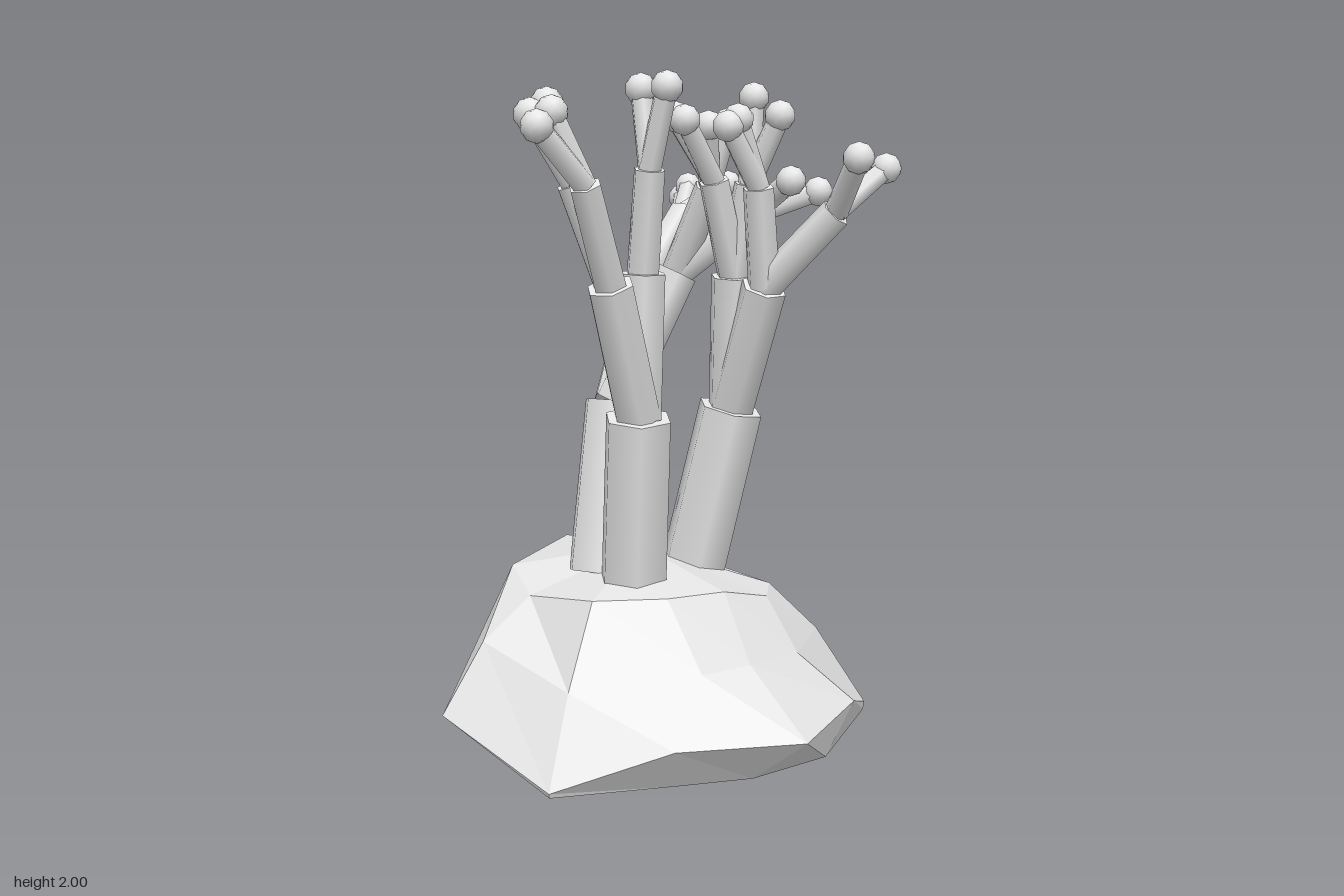
import * as THREE from 'three';

const stone = new THREE.MeshStandardMaterial({ color: 0xe6e6e6 });
stone.name = 'pale grey';

// Faceted boulder lofted through uneven rings, each listed from the front towards +x
function makeRock() {
  const rings = [
    [[-.09, .01, .42], [.33, .015, .545], [.46, .01, .2], [.55, .015, 0], [.55, .015, -.28],
      [.33, .02, -.645], [-.09, .02, -.6], [-.45, .02, -.46], [-.62, .02, -.2], [-.66, .02, .125]],
    [[-.09, .15, .65], [.335, .03, .55], [.54, .15, .27], [.70, .15, -.07], [.52, .15, -.42],
      [.33, .045, -.65], [-.09, .05, -.63], [-.70, .15, -.41], [-.67, .03, .13], [-.42, .08, .41]],
    [[-.09, .35, .51], [.25, .27, .43], [.44, .31, .1], [.45, .31, -.07], [.44, .31, -.26],
      [.26, .3, -.5], [-.09, .33, -.54], [-.54, .34, -.22], [-.64, .32, .11], [-.46, .3, .28]],
    [[-.1, .46, .34], [.18, .5, .3], [.3, .505, .12], [.35, .51, -.05], [.32, .46, -.24],
      [.18, .45, -.37], [-.09, .44, -.4], [-.33, .46, -.3], [-.53, .51, -.07], [-.32, .5, .27]],
  ];
  const bottom = [-.05, 0, -.05], top = [-.09, .565, -.06];
  const pos = [];
  const tri = (...corners) => corners.forEach((c) => pos.push(...c));
  const n = 10;
  for (let i = 0; i < n; i++) {
    const j = (i + 1) % n;
    tri(bottom, rings[0][j], rings[0][i]);
    for (let r = 0; r < rings.length - 1; r++) {
      const a = rings[r], b = rings[r + 1];
      tri(a[i], a[j], b[i]);
      tri(a[j], b[j], b[i]);
    }
    tri(rings[3][i], rings[3][j], top);
  }
  const geo = new THREE.BufferGeometry();
  geo.setAttribute('position', new THREE.Float32BufferAttribute(pos, 3));
  geo.computeVertexNormals();
  const mesh = new THREE.Mesh(geo, stone);
  mesh.name = 'rock';
  return mesh;
}

// Six-sided capped stalk between two points
function stalk(name, from, to, r0, r1) {
  const a = new THREE.Vector3(...from), b = new THREE.Vector3(...to);
  const dir = b.clone().sub(a);
  const mesh = new THREE.Mesh(new THREE.CylinderGeometry(r1, r0, dir.length(), 6), stone);
  mesh.position.copy(a).addScaledVector(dir, 0.5);
  mesh.quaternion.setFromUnitVectors(new THREE.Vector3(0, 1, 0), dir.normalize());
  mesh.name = name;
  return mesh;
}

// Levels of the branching: name, radius at the start and at the end
const LEVELS = [
  ['trunk', .107, .103],
  ['branch', .073, .07],
  ['smallBranch', .05, .047],
  ['twig', .035, .032],
];

// Each node is [end point, child nodes]; the last level carries a round tip
function grow(group, from, [to, children = []], level = 0) {
  const [name, r0, r1] = LEVELS[level];
  group.add(stalk(name, from, to, r0, r1));
  if (level === 3) {
    const tip = new THREE.Mesh(new THREE.IcosahedronGeometry(.045, 1), stone);
    tip.position.set(...to);
    tip.name = 'tip';
    group.add(tip);
  }
  children.forEach((child) => grow(group, to, child, level + 1));
}

const twigs = (...ends) => ends.map((e) => [e]);

const STEMS = {
  rightStem: [[-.09, .5, .09], [[-.142, 1.02, -.005], [
    [[-.25, 1.4, -.2], [
      [[-.35, 1.6, -.42], twigs([-.53, 1.65, -.555], [-.485, 1.69, -.55], [-.295, 1.675, -.62], [-.29, 1.695, -.57])],
    ]],
    [[-.06, 1.42, -.18], [
      [[.09, 1.68, -.19], twigs([.155, 1.87, -.21], [.16, 1.86, -.13])],
      [[.13, 1.6, -.32], twigs([.265, 1.67, -.47], [.345, 1.7, -.29])],
    ]],
  ]]],
  frontStem: [[.09, .5, .09], [[.17, 1.02, .13], [
    [[.24, 1.41, .275], [
      [[.235, 1.69, .395], twigs([.23, 1.9, .47], [.225, 1.87, .52])],
      [[.305, 1.685, .4], twigs([.325, 1.835, .56], [.285, 1.875, .49])],
    ]],
    [[.2, 1.44, .135], [
      [[.26, 1.73, .155], twigs([.245, 1.95, .09], [.225, 1.95, .16], [.34, 1.95, .155])],
    ]],
  ]]],
  backStem: [[0, .48, -.2], [[.115, 1.01, -.26], [
    [[.29, 1.39, -.24], [
      [[.495, 1.61, -.33], twigs([.635, 1.76, -.28], [.52, 1.735, -.5])],
      [[.33, 1.68, -.18], twigs([.345, 1.87, -.09], [.345, 1.85, -.055])],
    ]],
    [[.17, 1.42, -.22], [
      [[.2, 1.7, -.12], twigs([.19, 1.88, .015], [.23, 1.87, .01])],
      [[.235, 1.69, -.225], twigs([.24, 1.94, -.235], [.34, 1.885, -.25])],
    ]],
  ]]],
};

export function createModel() {
  const model = new THREE.Group();
  model.name = 'branchingCoral';
  model.add(makeRock());
  for (const [name, [base, tree]] of Object.entries(STEMS)) {
    const stem = new THREE.Group();
    stem.name = name;
    grow(stem, base, tree);
    model.add(stem);
  }
  return model;
}
